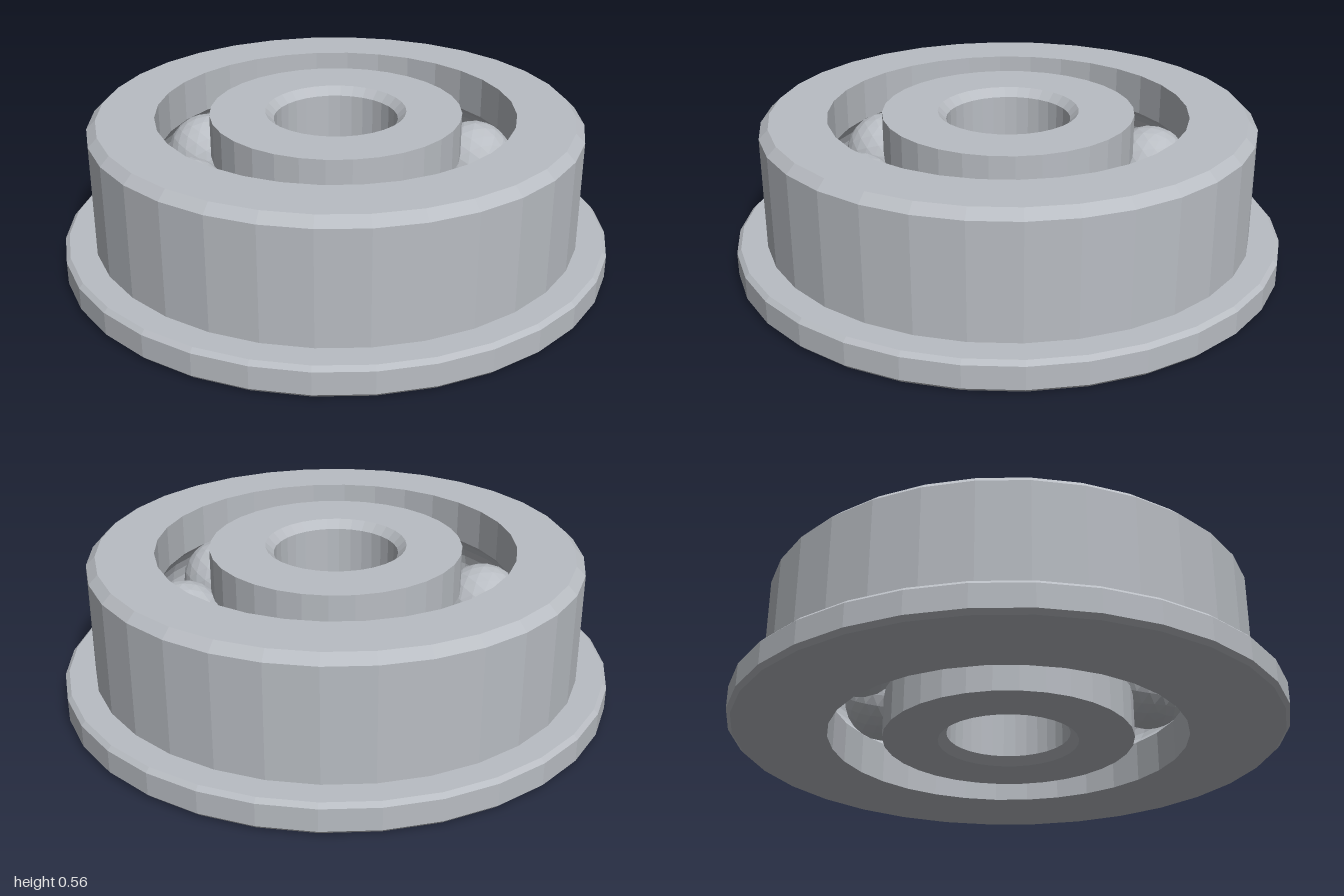
import * as THREE from 'three';

const SEGMENTS = 32;
const HEIGHT = 0.555;
const MID = HEIGHT / 2;
const BALL_RADIUS = 0.155;
const PITCH_RADIUS = 0.555;
const BALL_COUNT = 8;

// Profile points of the ball groove cut into a wall of the given radius.
// dir = 1 runs upward (inner ring), dir = -1 runs downward (outer ring).
function groove(wallRadius, dir, steps = 8) {
  const offset = wallRadius - PITCH_RADIUS;
  const half = Math.asin(Math.sqrt(BALL_RADIUS ** 2 - offset ** 2) / BALL_RADIUS);
  const points = [];
  for (let i = 0; i <= steps; i++) {
    const a = dir * half * (2 * i / steps - 1);
    points.push([
      PITCH_RADIUS + Math.sign(offset) * BALL_RADIUS * Math.cos(a),
      MID + BALL_RADIUS * Math.sin(a),
    ]);
  }
  return points;
}

// Closed ring turned from a counter-clockwise (radius, y) profile.
function ring(name, profile, material) {
  const points = [...profile, profile[0]].map(([r, y]) => new THREE.Vector2(r, y));
  const mesh = new THREE.Mesh(new THREE.LatheGeometry(points, SEGMENTS), material);
  mesh.name = name;
  return mesh;
}

export function createModel() {
  const group = new THREE.Group();
  group.name = 'flangedBallBearing';
  const steel = new THREE.MeshStandardMaterial({ color: 0xb9bdc3, flatShading: true });
  steel.name = 'steel';

  // Outer ring: chamfered flange, barrel and grooved inner wall
  group.add(ring('outerRing', [
    [0.65, 0], [0.985, 0], [1, 0.015], [1, 0.097], [0.985, 0.112],
    [0.89, 0.112], [0.89, 0.523], [0.857, HEIGHT], [0.65, HEIGHT],
    ...groove(0.65, -1),
  ], steel));

  // Inner ring: chamfered bore and grooved outer wall
  group.add(ring('innerRing', [
    [0.255, 0], [0.455, 0],
    ...groove(0.455, 1),
    [0.455, HEIGHT], [0.255, HEIGHT],
    [0.225, HEIGHT - 0.03], [0.225, 0.03],
  ], steel));

  // Balls spaced evenly between the rings
  const balls = new THREE.Group();
  balls.name = 'balls';
  const ballGeometry = new THREE.IcosahedronGeometry(BALL_RADIUS, 3);
  for (let i = 0; i < BALL_COUNT; i++) {
    const a = (i / BALL_COUNT) * Math.PI * 2;
    const ball = new THREE.Mesh(ballGeometry, steel);
    ball.name = `ball${i + 1}`;
    ball.position.set(PITCH_RADIUS * Math.cos(a), MID, PITCH_RADIUS * Math.sin(a));
    balls.add(ball);
  }
  group.add(balls);

  return group;
}
